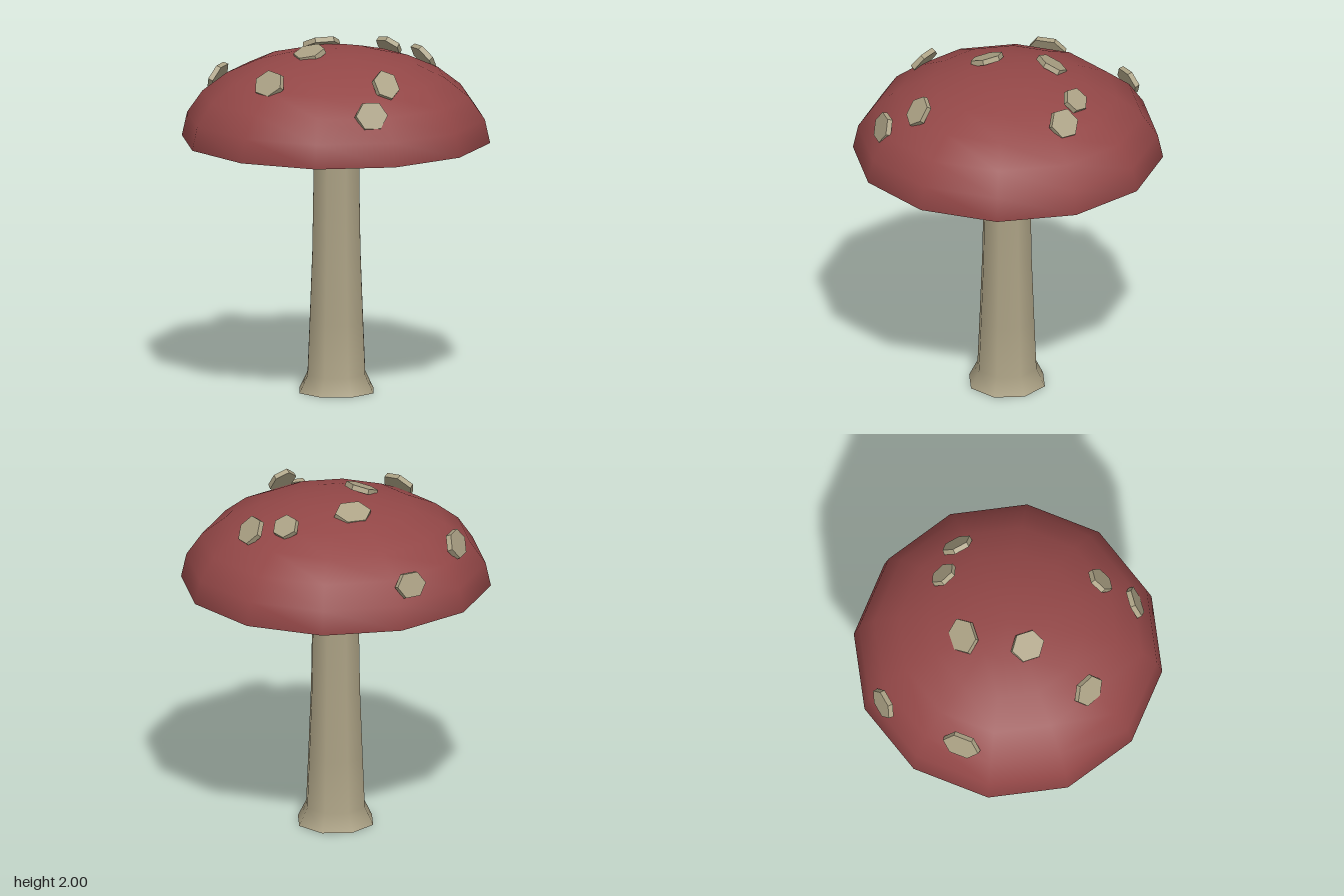
import * as THREE from 'three';

export function createModel() {
  const group = new THREE.Group();
  const red = new THREE.MeshStandardMaterial({ name: 'capRed', color: 0x934747 });
  const tan = new THREE.MeshStandardMaterial({ name: 'stemTan', color: 0xaca285, side: THREE.DoubleSide });
  const add = (geometry, material, name) => {
    const mesh = new THREE.Mesh(geometry, material);
    mesh.name = name;
    group.add(mesh);
    return mesh;
  };

  // Cap: a squashed twelve-sided dome over a flat underside
  const rim = 1.445, radius = 0.877;
  const dome = new THREE.SphereGeometry(radius, 12, 6, 0, Math.PI * 2, 0, Math.PI / 2);
  dome.scale(1, 0.52 / radius, 1);
  add(dome, red, 'cap').position.y = rim;
  const under = new THREE.CircleGeometry(radius, 12).rotateX(Math.PI / 2);
  add(under, tan, 'capUnderside').position.y = rim;

  // Stem: tapered octagonal tube, open and flared at the foot
  const profile = [[0.226, 0], [0.176, 0.1], [0.163, 0.4], [0.147, 0.8], [0.141, 1.15], [0.139, rim]]
    .map(([r, y]) => new THREE.Vector2(r, y));
  add(new THREE.LatheGeometry(profile, 8), tan, 'stem').position.z = 0.006;

  // Spots: six-sided chips facing away from the cap centre
  // [x, y, z, half width, half length, spin]
  const spots = [
    [-0.09, 1.68, -0.8, 0.095, 0.08, 0.5],
    [-0.515, 1.755, -0.5, 0.11, 0.085, 0.5],
    [0.02, 1.945, -0.265, 0.11, 0.085, 0.5],
    [-0.18, 1.96, 0.045, 0.1, 0.09, 0.2],
    [-0.52, 1.85, 0.275, 0.1, 0.085, 0.35],
    [0.415, 1.91, -0.22, 0.08, 0.075, 0.3],
    [0.565, 1.863, -0.075, 0.09, 0.09, 0.5],
    [0.06, 1.857, 0.59, 0.08, 0.092, 0.1],
    [-0.09, 1.72, 0.74, 0.095, 0.088, 0.5],
  ];
  const centre = new THREE.Vector3(0, rim, 0);
  spots.forEach(([x, y, z, w, l, spin], i) => {
    const chip = new THREE.CylinderGeometry(0.97, 1, 0.03, 6, 1, false, spin)
      .rotateX(Math.PI / 2).scale(w, l, 1).toNonIndexed();
    chip.computeVertexNormals();
    const spot = add(chip, tan, `spot${i + 1}`);
    spot.position.set(x, y, z);
    spot.lookAt(spot.position.clone().multiplyScalar(2).sub(centre));
  });
  return group;
}
